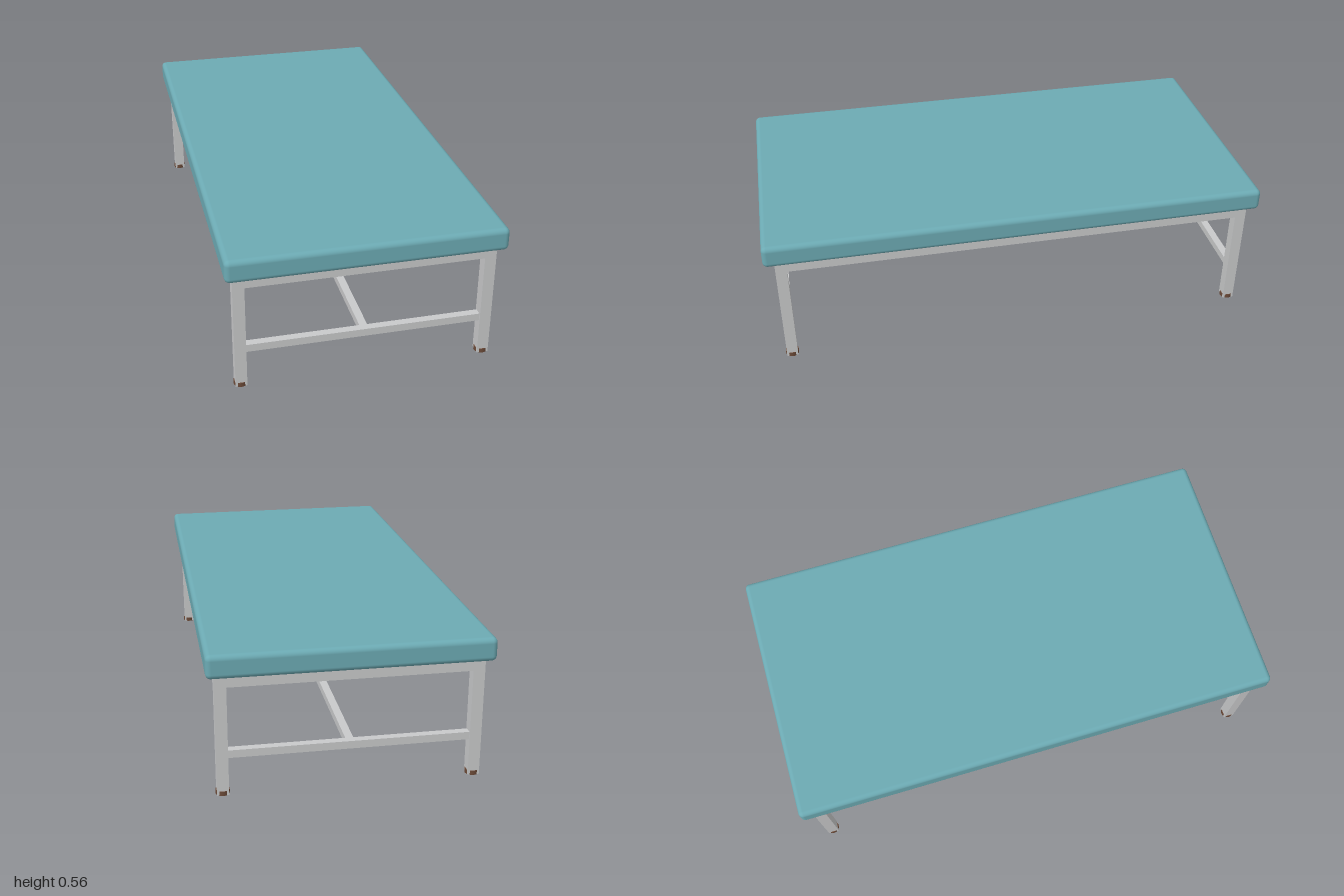
import * as THREE from 'three';
import { RoundedBoxGeometry } from 'three/addons/geometries/RoundedBoxGeometry.js';

export function createModel() {
  const model = new THREE.Group();
  model.name = 'paddedBench';

  const makeMaterial = (name, color) => {
    const m = new THREE.MeshStandardMaterial({ color });
    m.name = name;
    return m;
  };
  const teal = makeMaterial('tealUpholstery', 0x6caab3);
  const grey = makeMaterial('greyMetal', 0xc8c9ca);
  const brown = makeMaterial('brownRubber', 0x6b4a38);

  const add = (name, geometry, material, x, y, z) => {
    const mesh = new THREE.Mesh(geometry, material);
    mesh.name = name;
    mesh.position.set(x, y, z);
    model.add(mesh);
  };
  const bar = (name, w, h, d, x, y, z) =>
    add(name, new THREE.BoxGeometry(w, h, d), grey, x, y, z);

  const legX = 0.471, legZ = 0.936;   // leg centres
  const tube = 0.044, thin = 0.03;    // frame and stretcher thickness
  const top = 0.472;                  // top of the frame
  const railY = top - 0.024, stretcherY = 0.161;

  // Padded top with soft edges
  add('cushion', new RoundedBoxGeometry(1.046, 0.09, 2, 5, 0.02), teal, 0, 0.516, 0);

  // Legs with round feet fitted around their ends
  for (const sx of [-1, 1]) {
    for (const sz of [-1, 1]) {
      bar('leg', tube, top - 0.001, tube, sx * legX, (top + 0.001) / 2, sz * legZ);
      add('foot', new THREE.CylinderGeometry(0.026, 0.026, 0.017, 24), brown,
        sx * legX, 0.0085, sz * legZ);
    }
    // Long top rails
    bar('sideRail', tube, 0.048, 2 * legZ - tube, sx * legX, railY, 0);
  }

  // End rails and low end stretchers
  for (const sz of [-1, 1]) {
    bar('endRail', 2 * legX - tube, 0.048, tube, 0, railY, sz * legZ);
    bar('endStretcher', 2 * legX - tube, thin, thin, 0, stretcherY, sz * legZ);
  }

  // Low central stretcher joining both ends
  bar('centreStretcher', thin, thin, 2 * legZ - thin, 0, stretcherY, 0);

  return model;
}
